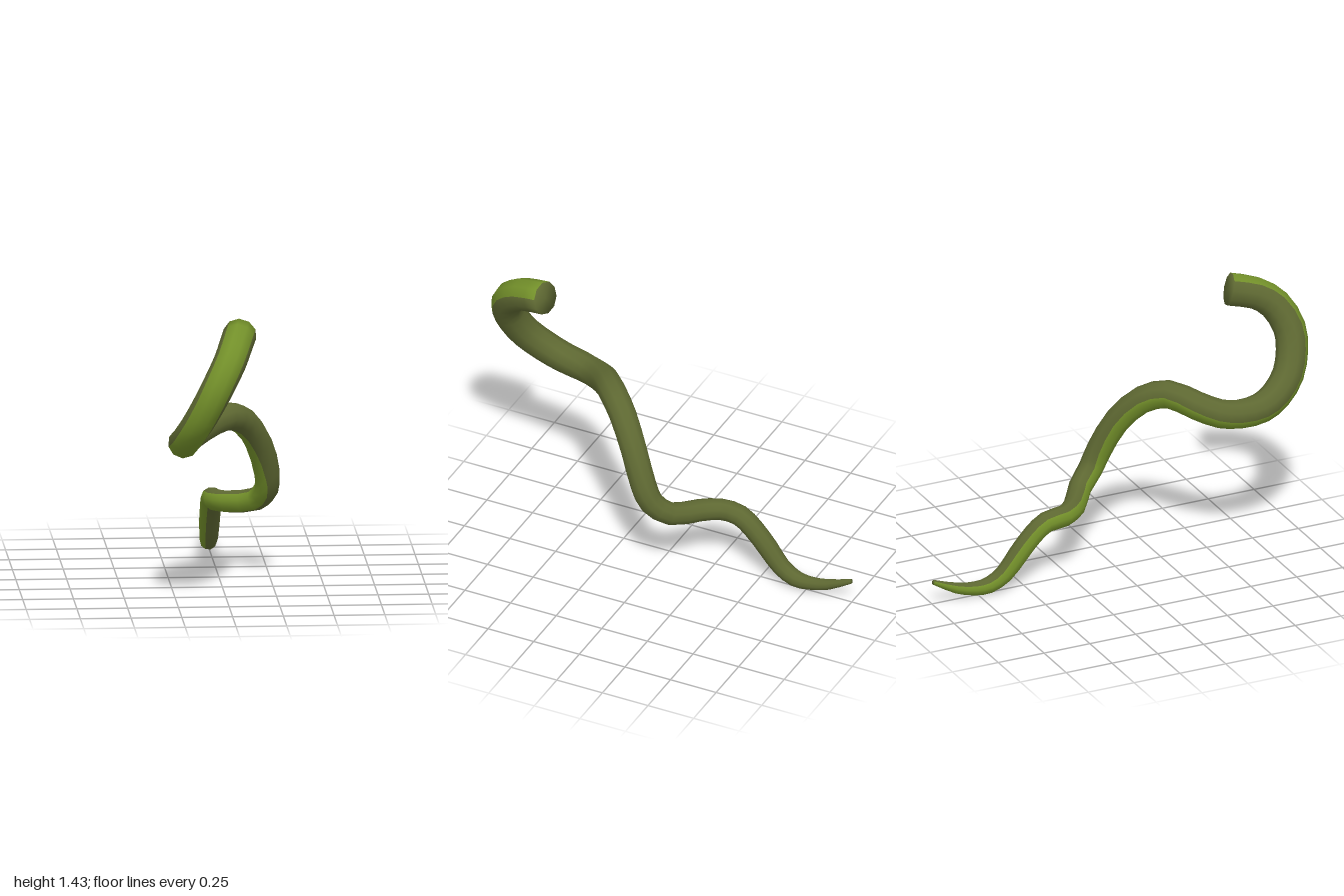
import * as THREE from 'three';

// Centre line, thick end to thin tip
const PATH = [
  [0.06, 1.35, 0.65], [0.03, 1.315, 0.78], [-0.005, 1.25, 0.87], [-0.065, 1.14, 0.92],
  [-0.115, 1.04, 0.91], [-0.165, 0.94, 0.865], [-0.205, 0.86, 0.78], [-0.22, 0.815, 0.69],
  [-0.21, 0.8, 0.58], [-0.175, 0.805, 0.49], [-0.1, 0.835, 0.4], [0.02, 0.868, 0.3],
  [0.11, 0.82, 0.2], [0.19, 0.69, 0.1], [0.235, 0.53, 0.025], [0.235, 0.44, -0.02],
  [0.19, 0.372, -0.1], [0.06, 0.342, -0.195], [-0.003, 0.335, -0.28], [-0.01, 0.325, -0.38],
  [-0.01, 0.27, -0.455], [-0.01, 0.18, -0.535], [-0.008, 0.09, -0.61], [-0.005, 0.045, -0.69],
  [-0.005, 0.042, -0.77], [-0.005, 0.065, -0.87], [-0.005, 0.122, -0.995],
];
// [path index, radius]
const RADII = [[0, 0.083], [5, 0.079], [9, 0.073], [13, 0.067], [16, 0.058],
  [18, 0.054], [21, 0.051], [23, 0.042], [25, 0.027], [26, 0.012]];
// [path index, direction the green stripe faces]
const STRIPE = [[0, 0.25, 1, 0.3], [2, 0.1, 0.6, 0.8], [4, 0, 0, 1], [6, -0.2, -0.6, 0.75],
  [8, -0.45, -0.9, 0.1], [11, -0.7, -0.7, -0.3], [13, -0.9, -0.4, 0.15], [15, -0.8, -0.2, 0.6],
  [17, -0.6, -0.1, 0.8], [19, -1, -0.2, 0.15], [26, -1, -0.3, 0]];

// Linear interpolation in a keyed table
function keyed(table, at) {
  let k = 0;
  while (k < table.length - 2 && at > table[k + 1][0]) k++;
  const a = table[k], b = table[k + 1];
  const f = (at - a[0]) / (b[0] - a[0]);
  return a.slice(1).map((v, i) => v + (b[i + 1] - v) * f);
}

function tendrilGeometry(sides, rings) {
  const curve = new THREE.CatmullRomCurve3(PATH.map((p) => new THREE.Vector3(...p)));
  const positions = [], skin = [], stripe = [];

  // Cross-sections, each turned so that its first face looks along the stripe
  for (let i = 0; i <= rings; i++) {
    const t = i / rings, at = t * (PATH.length - 1);
    const centre = curve.getPoint(t), tangent = curve.getTangent(t);
    const [radius] = keyed(RADII, at);
    const n = new THREE.Vector3(...keyed(STRIPE, at));
    n.addScaledVector(tangent, -n.dot(tangent)).normalize();
    const b = new THREE.Vector3().crossVectors(tangent, n);
    for (let j = 0; j < sides; j++) {
      const a = ((j - 0.5) / sides) * Math.PI * 2;
      const p = centre.clone().addScaledVector(n, Math.cos(a) * radius).addScaledVector(b, Math.sin(a) * radius);
      positions.push(p.x, p.y, p.z);
    }
  }

  // Side faces: three columns make the stripe
  for (let i = 0; i < rings; i++) {
    for (let j = 0; j < sides; j++) {
      const k = (j + 1) % sides;
      const a = i * sides + j, b = i * sides + k;
      const list = j <= 1 || j === sides - 1 ? stripe : skin;
      list.push(a, b, b + sides, a, b + sides, a + sides);
    }
  }

  // Caps on both ends
  const first = positions.length / 3;
  for (const t of [0, 1]) {
    const c = curve.getPoint(t);
    positions.push(c.x, c.y, c.z);
  }
  const last = rings * sides;
  for (let j = 0; j < sides; j++) {
    const k = (j + 1) % sides;
    skin.push(first, k, j, first + 1, last + j, last + k);
  }

  const geometry = new THREE.BufferGeometry();
  geometry.setAttribute('position', new THREE.Float32BufferAttribute(positions, 3));
  geometry.setIndex([...skin, ...stripe]);
  geometry.addGroup(0, skin.length, 0);
  geometry.addGroup(skin.length, stripe.length, 1);
  geometry.computeVertexNormals();
  return geometry;
}

export function createModel() {
  const olive = new THREE.MeshStandardMaterial({ color: 0x5e6832 });
  olive.name = 'olive skin';
  const green = new THREE.MeshStandardMaterial({ color: 0x73902a });
  green.name = 'green stripe';

  const group = new THREE.Group();
  group.name = 'tendril';
  const mesh = new THREE.Mesh(tendrilGeometry(10, 52), [olive, green]);
  mesh.name = 'curledStem';
  group.add(mesh);
  return group;
}
